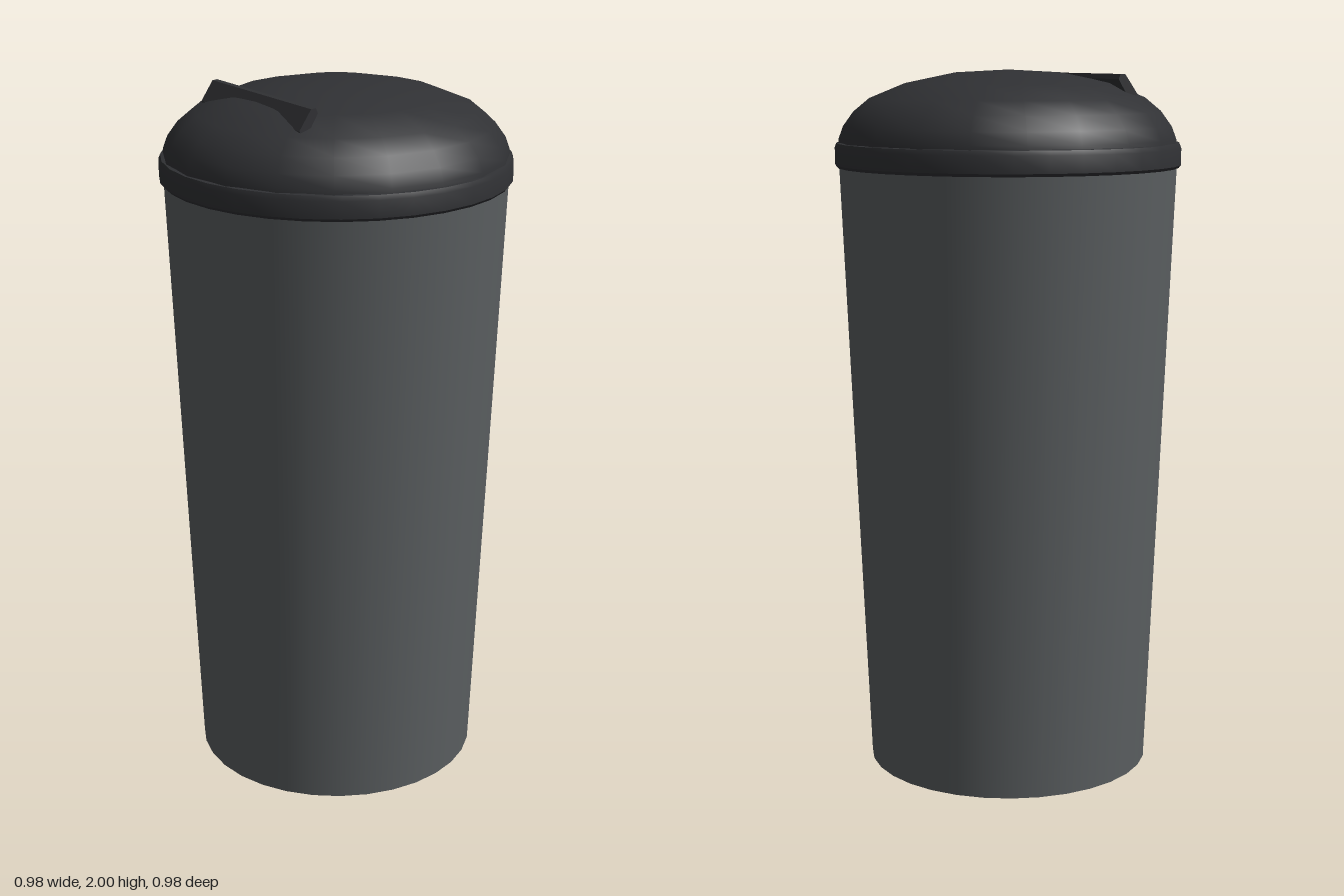
import * as THREE from 'three';
import { toCreasedNormals } from 'three/addons/utils/BufferGeometryUtils.js';

const grey = new THREE.MeshStandardMaterial({ color: 0x5b5f61 });
const dark = new THREE.MeshStandardMaterial({ color: 0x303134 });

const points = (list) => list.map(([a, b]) => new THREE.Vector2(a, b));

function part(name, geometry, material, crease) {
  const mesh = new THREE.Mesh(toCreasedNormals(geometry, crease), material);
  mesh.name = name;
  return mesh;
}

export function createModel() {
  const model = new THREE.Group();
  model.name = 'liddedBin';

  // Tapered body with a closed base
  const body = new THREE.CylinderGeometry(0.478, 0.405, 1.75, 32);
  body.translate(0, 0.875, 0);
  model.add(part('body', body, grey, 0.6));

  // Lid: bevelled rim band and a coarser shallow dome
  const lid = new THREE.Group();
  lid.name = 'lid';
  const rim = new THREE.LatheGeometry(points([
    [0, 1.73], [0.482, 1.73], [0.489, 1.738], [0.489, 1.785], [0.484, 1.798], [0.47, 1.8], [0, 1.8],
  ]), 32);
  lid.add(part('lidRim', rim, dark, 0.7));

  const dome = new THREE.LatheGeometry(points([
    [0.479, 1.79], [0.477, 1.81], [0.464, 1.845], [0.435, 1.885], [0.39, 1.922],
    [0.29, 1.963], [0.15, 1.992], [0, 2],
  ]), 20);
  lid.add(part('lidDome', dome, dark, 0.9));

  // Slanted grip bar, its cross-section drawn as (z, y) and run along x
  const section = new THREE.Shape(points([
    [0.255, 1.928], [0.28, 1.928], [0.284, 1.935], [0.247, 1.988], [0.232, 1.989], [0.226, 1.975],
  ]));
  const grip = new THREE.ExtrudeGeometry(section, { depth: 0.476, bevelEnabled: false });
  grip.translate(0, 0, -0.238);
  grip.rotateY(-Math.PI / 2);
  lid.add(part('lidGrip', grip, dark, 0.5));

  model.add(lid);
  return model;
}
